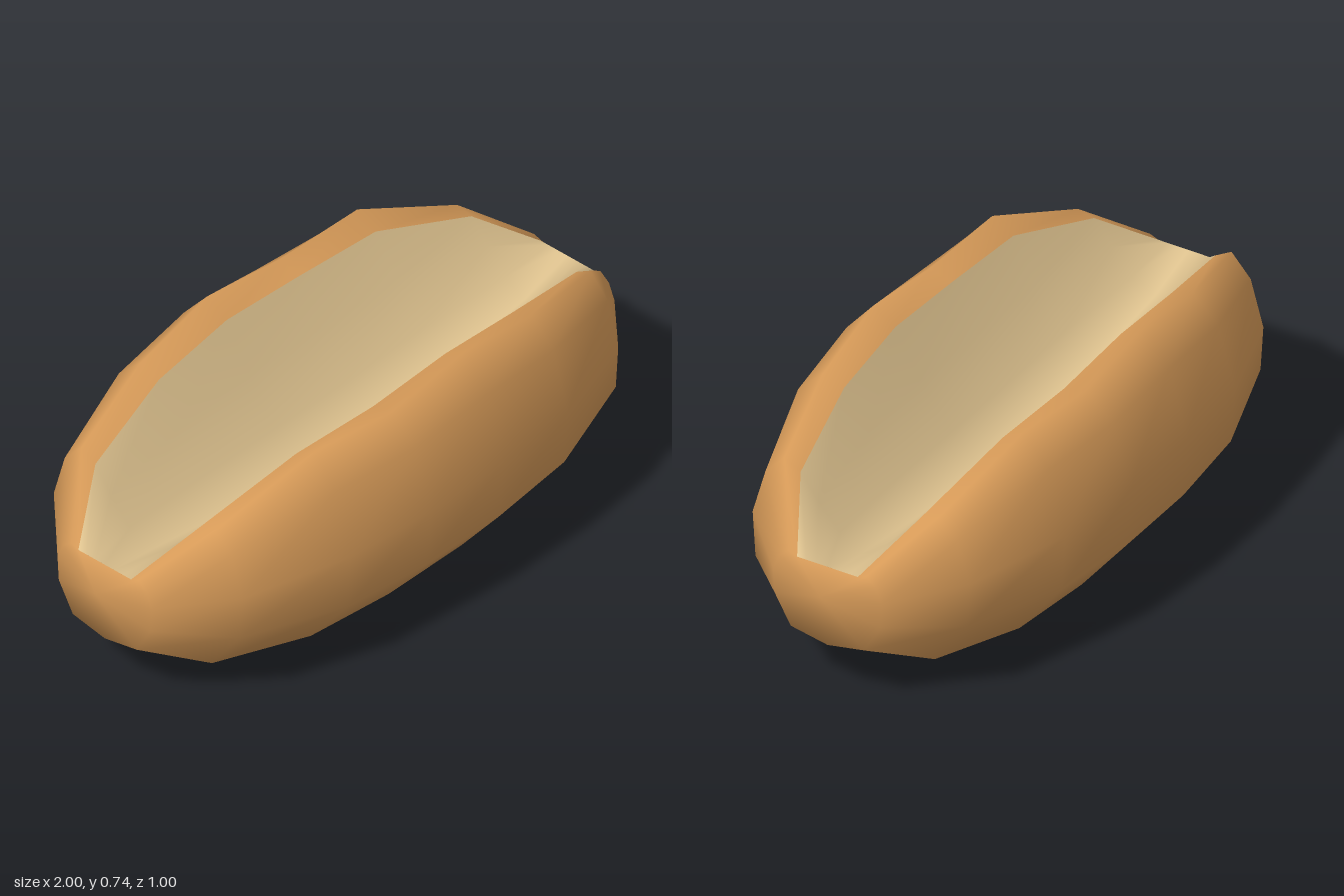
import * as THREE from 'three';

// Stations along the bun: x, width scale, scale below and above the middle, valley height
const HALF = [
  [0.15, 1, 1, 1, 0.32],
  [0.45, 0.94, 0.96, 0.94, 0.34],
  [0.78, 0.72, 0.79, 0.675, 0.385],
  [0.96, 0.36, 0.51, 0.235, 0.44],
];
const STATIONS = [
  ...HALF.slice().reverse().map(([x, ...rest]) => [-x, ...rest]),
  ...HALF,
];
// Uneven dips along the front lip; the back lip has them reversed
const DIPS = [0, -0.03, 0, -0.04, 0, -0.03, 0, 0];
const MID_Y = 0.36;

// Half of the widest crust section as z, y, share of the dip: inner lip to underside
const PROFILE = [
  [0.278, 0.70, 0.4], [0.352, 0.745, 1], [0.44, 0.642, 0.5], [0.498, 0.425, 0],
  [0.485, 0.233, 0], [0.337, 0.05, 0], [0, 0.005, 0],
];

function crustPoint(i, k, side) {
  const [x, wide, low, high] = STATIONS[i];
  const [z, y, share] = PROFILE[k];
  const dip = DIPS[side > 0 ? i : DIPS.length - 1 - i] * share;
  const dy = y - MID_Y;
  return [x, MID_Y + dy * (dy > 0 ? high : low) + dip, side * z * wide];
}

// Joins rows of points into a smooth surface; tips optionally close both ends
function loft(rows, tips) {
  const n = rows[0].length;
  const positions = rows.flat(2);
  const index = [];
  for (let i = 0; i < rows.length - 1; i++) {
    for (let j = 0; j < n - 1; j++) {
      const a = i * n + j, b = a + 1, c = a + n, d = c + 1;
      index.push(a, b, c, b, d, c);
    }
  }
  if (tips) {
    const first = rows.length * n, last = first + 1;
    positions.push(...tips[0], ...tips[1]);
    const end = (rows.length - 1) * n;
    for (let j = 0; j < n; j++) {
      const next = (j + 1) % n;
      index.push(first, next, j, end + j, end + next, last);
    }
  }
  const geometry = new THREE.BufferGeometry();
  geometry.setAttribute('position', new THREE.Float32BufferAttribute(positions, 3));
  geometry.setIndex(index);
  geometry.computeVertexNormals();
  return geometry;
}

export function createModel() {
  const crustBrown = new THREE.MeshStandardMaterial({ color: 0xd69a58, side: THREE.DoubleSide });
  crustBrown.name = 'crustBrown';
  const crumbCream = new THREE.MeshStandardMaterial({ color: 0xe0c490, side: THREE.DoubleSide });
  crumbCream.name = 'crumbCream';

  const bun = new THREE.Group();
  bun.name = 'splitBun';

  // Crust: front lip, round the underside, to the back lip
  const crustRows = STATIONS.map((_, i) => [
    ...PROFILE.map((_, k) => crustPoint(i, k, 1)),
    ...PROFILE.slice(0, -1).map((_, k) => crustPoint(i, k, -1)).reverse(),
  ]);
  const crust = new THREE.Mesh(loft(crustRows, [[-1, MID_Y, 0], [1, MID_Y, 0]]), crustBrown);
  crust.name = 'crust';
  bun.add(crust);

  // Crumb: the hollow between the lips, from back to front
  const steps = [-1, -0.7, -0.35, 0, 0.35, 0.7, 1];
  const crumbRows = STATIONS.map((station, i) => steps.map((t) => {
    const [x, y, z] = crustPoint(i, 0, t < 0 ? -1 : 1);
    const valley = station[4];
    return [x, valley + (y - valley) * Math.abs(t) ** 1.4, Math.abs(t) * z];
  }));
  const crumb = new THREE.Mesh(loft(crumbRows), crumbCream);
  crumb.name = 'crumb';
  bun.add(crumb);

  return bun;
}
